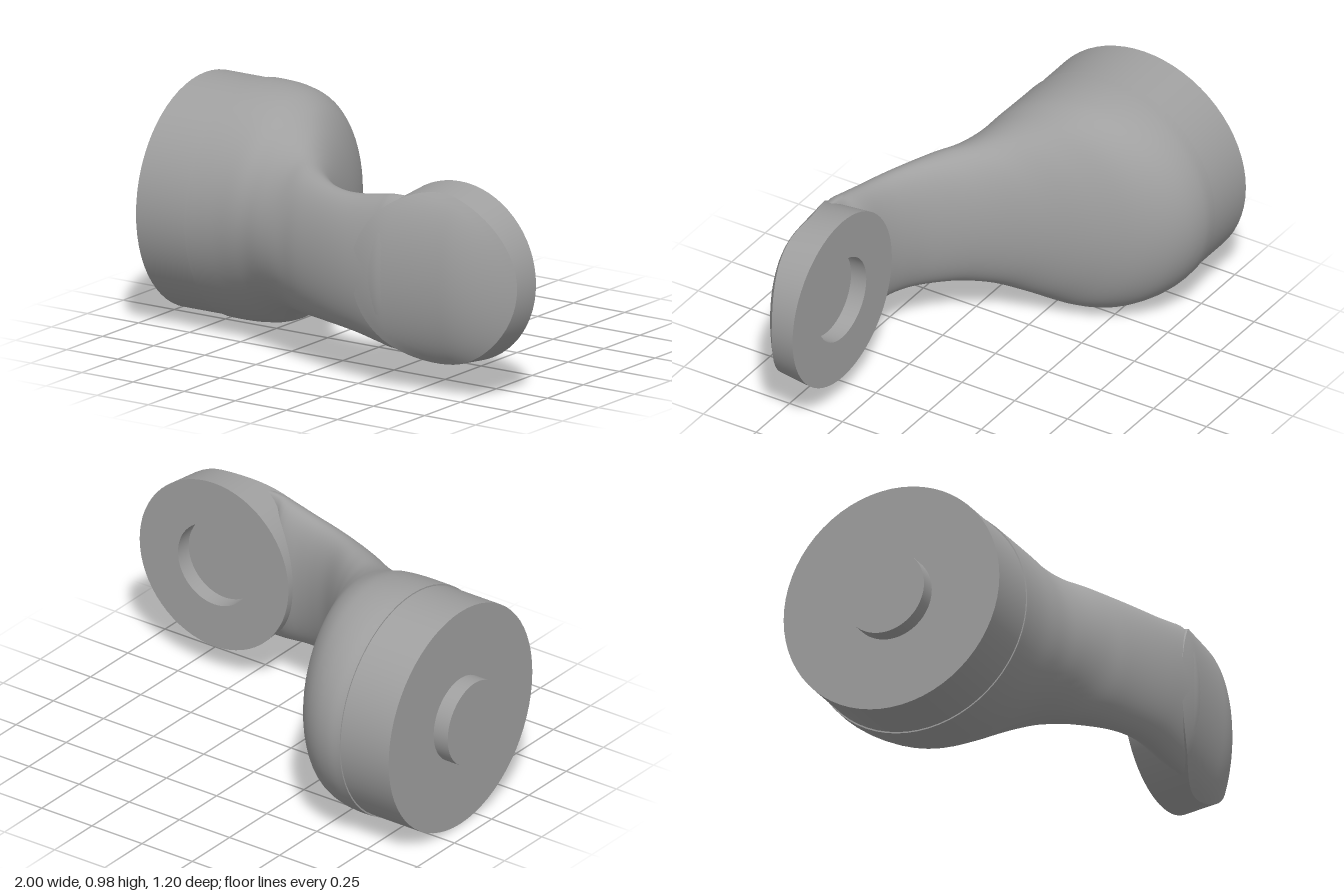
import * as THREE from 'three';
import { toCreasedNormals } from 'three/addons/utils/BufferGeometryUtils.js';

const CY = 0.492; // height of the common centre line
const SEG = 64;

// Skin a list of closed rings (arrays of [x, y, z])
function loft(rings, crease) {
  const n = rings[0].length, index = [];
  for (let i = 0; i < rings.length - 1; i++) {
    for (let j = 0; j < n; j++) {
      const k = (j + 1) % n, a = i * n, b = a + n;
      index.push(a + j, a + k, b + j, a + k, b + k, b + j);
    }
  }
  const geo = new THREE.BufferGeometry();
  geo.setAttribute('position', new THREE.Float32BufferAttribute(rings.flat(2), 3));
  geo.setIndex(index);
  return toCreasedNormals(geo, crease);
}

const around = (fn) => Array.from({ length: SEG }, (_, j) => fn((j / SEG) * Math.PI * 2));

// Front surface height of the head
function headFront(x, y) {
  const bend = Math.max(0, x - 0.7);
  const ridge = x < 0.4
    ? 0.595 - 0.6 * (0.4 - x) ** 2
    : 0.595 - 0.09 * (x - 0.4) - 1.32 * bend * bend;
  return ridge - 0.155 * (1 - Math.sqrt(1 - (y / 0.375) ** 2));
}

export function createModel() {
  const group = new THREE.Group();
  const grey = new THREE.MeshStandardMaterial({ color: 0xa0a0a0 });
  grey.name = 'grey';

  const add = (name, geo) => {
    const mesh = new THREE.Mesh(geo, grey);
    mesh.name = name;
    group.add(mesh);
    return mesh;
  };

  // Base drum and its shaft, both along x
  const disc = (name, r, x0, x1) => {
    const geo = new THREE.CylinderGeometry(r, r, x1 - x0, SEG).rotateZ(Math.PI / 2);
    add(name, geo).position.set((x0 + x1) / 2, CY, -0.115);
  };
  disc('baseDrum', 0.482, -0.93, -0.68);
  disc('shaft', 0.18, -1, -0.92);

  // Arm cross-sections: x, back z, front z, half height, z of widest point
  const stations = [
    [-0.69, -0.603, 0.372, 0.488, -0.115],
    [-0.62, -0.603, 0.373, 0.488, -0.115],
    [-0.54, -0.58, 0.378, 0.482, -0.11],
    [-0.46, -0.525, 0.39, 0.465, -0.1],
    [-0.38, -0.43, 0.405, 0.425, -0.06],
    [-0.3, -0.28, 0.43, 0.37, 0.05],
    [-0.22, -0.1, 0.455, 0.325, 0.18],
    [-0.14, 0.06, 0.48, 0.305, 0.28],
    [-0.06, 0.175, 0.51, 0.293, 0.34],
    [0.04, 0.275, 0.54, 0.283, 0.4],
    [0.14, 0.33, 0.565, 0.281, 0.44],
    [0.24, 0.358, 0.583, 0.289, 0.46],
    [0.36, 0.37, 0.594, 0.309, 0.475],
    [0.43, 0.43, 0.592, 0.32, 0.48],
    [0.62, 0.45, 0.55, 0.32, 0.485],
  ];
  const sides = new THREE.CatmullRomCurve3(
    stations.map((s) => new THREE.Vector3(s[0], s[1], s[2])), false, 'catmullrom', 0.5);
  const widths = new THREE.SplineCurve(stations.map((s) => new THREE.Vector2(s[3], s[4])));
  const section = (x, back, front, h, zc) => around((a) => {
    const s = Math.sin(a);
    return [x, CY + h * Math.cos(a), zc + s * (s > 0 ? front - zc : zc - back)];
  });
  const armRings = [section(-0.69, -0.4, 0.17, 0.285, -0.115)]; // shoulder step at the drum
  const STEPS = 56;
  for (let i = 0; i <= STEPS; i++) {
    const p = sides.getPoint(i / STEPS), w = widths.getPoint(i / STEPS);
    armRings.push(section(p.x, p.y, p.z, w.x, w.y));
  }
  add('arm', loft(armRings, 0.8));

  // Round head: recessed socket, flat back, tapered rim, domed front
  const HX = 0.628;
  const ring = (r, z) => around((b) => {
    const x = HX + r * Math.cos(b), y = r * Math.sin(b);
    return [x, CY + y, z === undefined ? headFront(x, y) : z];
  });
  const headRings = [
    ring(0, 0.4), ring(0.18, 0.4), ring(0.18, 0.328), ring(0.371, 0.328),
  ];
  for (let i = 0; i <= 12; i++) headRings.push(ring(0.355 * (1 - i / 12)));
  add('head', loft(headRings, 0.5));

  return group;
}
